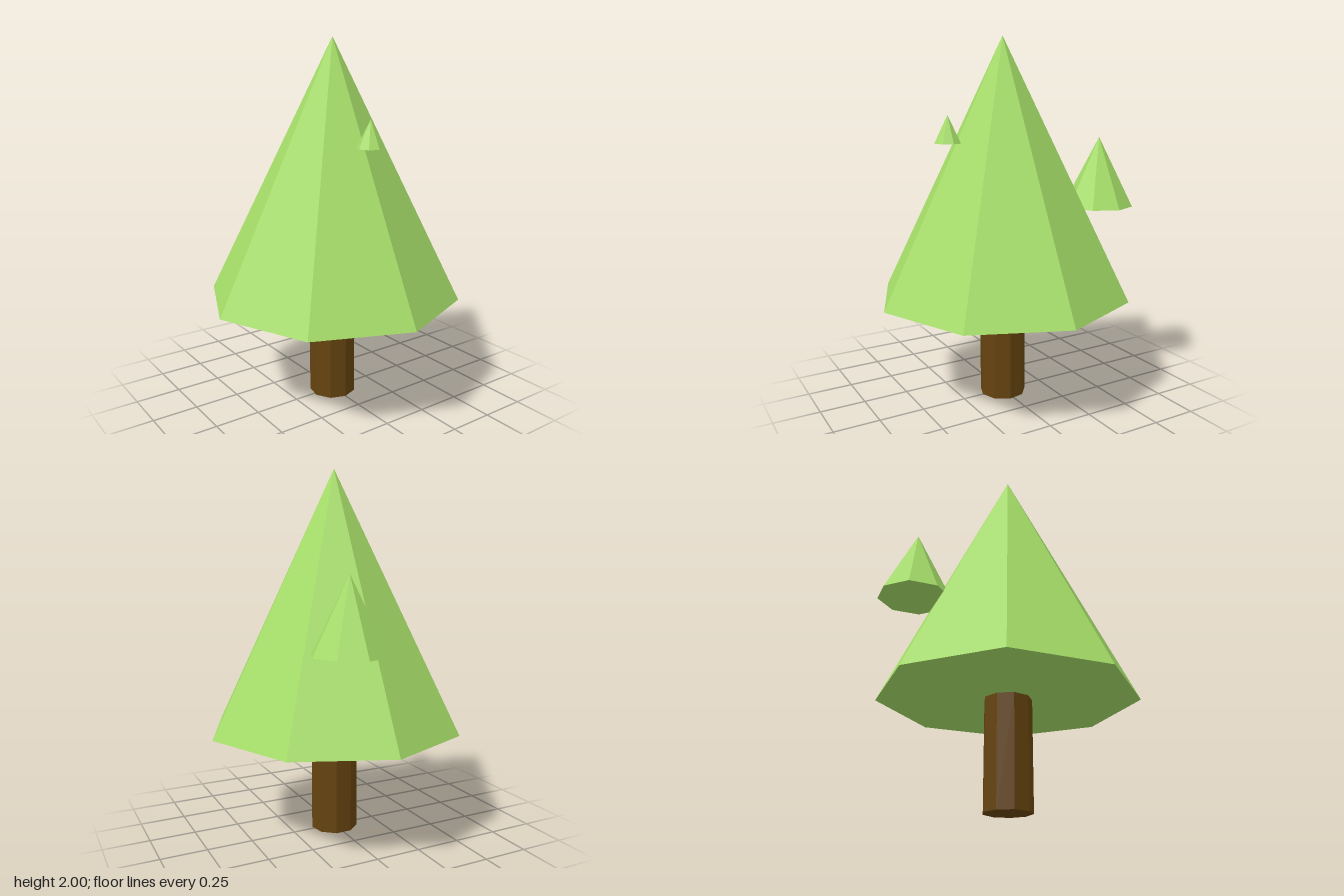
import * as THREE from 'three';

export function createModel() {
  const tree = new THREE.Group();
  tree.name = 'tree';
  const leaf = new THREE.MeshStandardMaterial({ color: 0xa5dd68, flatShading: true });
  const bark = new THREE.MeshStandardMaterial({ color: 0x65430f, flatShading: true });

  // Eight-sided foliage cone, placed by its base centre
  function addCone(name, radius, height, x, y, z) {
    const geometry = new THREE.ConeGeometry(radius, height, 8);
    geometry.translate(0, height / 2, 0);
    const mesh = new THREE.Mesh(geometry, leaf);
    mesh.name = name;
    mesh.position.set(x, y, z);
    tree.add(mesh);
  }

  addCone('crown', 0.706, 1.41, 0, 0.59, 0);
  addCone('largeTuft', 0.195, 0.386, -0.52, 1.075, -0.178);
  addCone('smallTuft', 0.073, 0.146, 0.328, 1.446, 0);

  // Nine-sided trunk with one corner facing +x
  const trunk = new THREE.Mesh(
    new THREE.CylinderGeometry(0.13, 0.13, 0.59, 9, 1, false, Math.PI / 2), bark);
  trunk.name = 'trunk';
  trunk.position.y = 0.295;
  tree.add(trunk);

  return tree;
}
